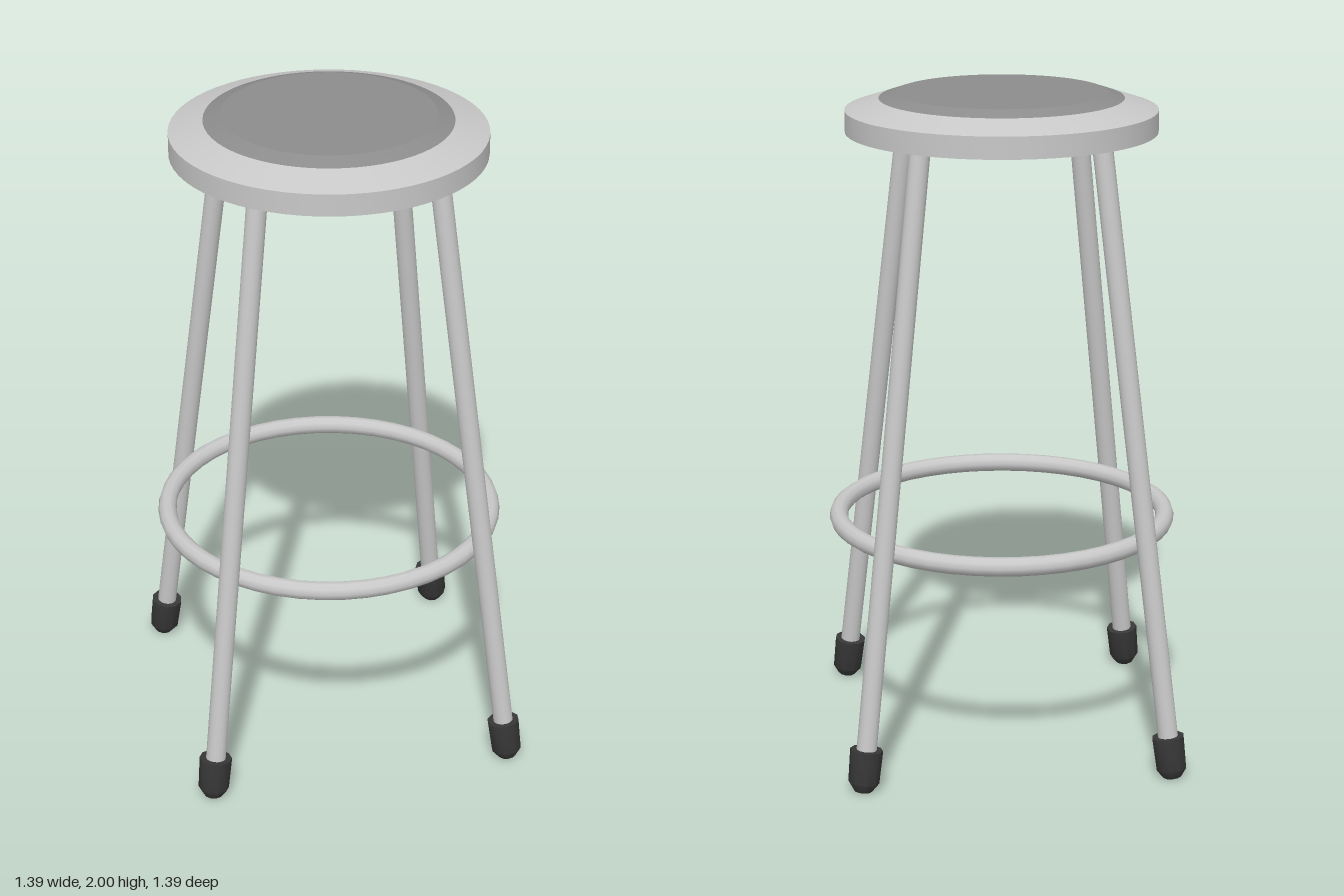
import * as THREE from 'three';
import { toCreasedNormals } from 'three/addons/utils/BufferGeometryUtils.js';

const metal = new THREE.MeshStandardMaterial({ color: 0xc8c8c8 });
metal.name = 'light grey metal';
const pad = new THREE.MeshStandardMaterial({ color: 0x8c8c8c });
pad.name = 'mid grey pad';
const rubber = new THREE.MeshStandardMaterial({ color: 0x383838 });
rubber.name = 'dark rubber';

// Turned part from [radius, height] pairs listed bottom to top, with sharp edges kept
function turned(name, profile, sides, material) {
  const points = profile.map(([r, y]) => new THREE.Vector2(r, y));
  const geometry = toCreasedNormals(new THREE.LatheGeometry(points, sides), 0.7);
  // Shallow bevels stay crisp on the seat parts
  const mesh = new THREE.Mesh(sides > 30 ? toCreasedNormals(geometry, 0.2) : geometry, material);
  mesh.name = name;
  return mesh;
}

export function createModel() {
  const stool = new THREE.Group();
  stool.name = 'stool';

  // Seat: metal rim around a slightly raised pad that also shows underneath
  const seat = new THREE.Group();
  seat.name = 'seat';
  seat.add(
    turned('seatRim', [[0.3, 1.885], [0.46, 1.885], [0.46, 1.95], [0.36, 1.983]], 64, metal),
    turned('seatPad', [[0.36, 1.983], [0.31, 2.0], [0, 2.0]], 64, pad),
    turned('seatUnderside', [[0, 1.885], [0.3, 1.885]], 64, pad)
  );
  stool.add(seat);

  // Foot ring
  const ring = new THREE.Mesh(new THREE.TorusGeometry(0.498, 0.028, 10, 48), metal);
  ring.name = 'footRing';
  ring.rotation.x = Math.PI / 2;
  ring.position.y = 0.705;
  stool.add(ring);

  // Four splayed legs, each ending in a rubber foot
  for (let i = 0; i < 4; i++) {
    const turn = new THREE.Group();
    turn.name = 'legAssembly' + (i + 1);
    turn.rotation.y = (i * Math.PI) / 2;
    const splay = new THREE.Group();
    splay.name = 'splayedLeg';
    splay.position.set(0.37, 1.87, 0);
    splay.rotation.z = 0.1515;
    splay.add(
      turned('leg', [[0, -1.8], [0.03, -1.8], [0.03, 0.03], [0, 0.03]], 16, metal),
      turned('foot', [[0, -1.884], [0.027, -1.884], [0.046, -1.857], [0.049, -1.757], [0.03, -1.757]], 10, rubber)
    );
    turn.add(splay);
    stool.add(turn);
  }
  return stool;
}
